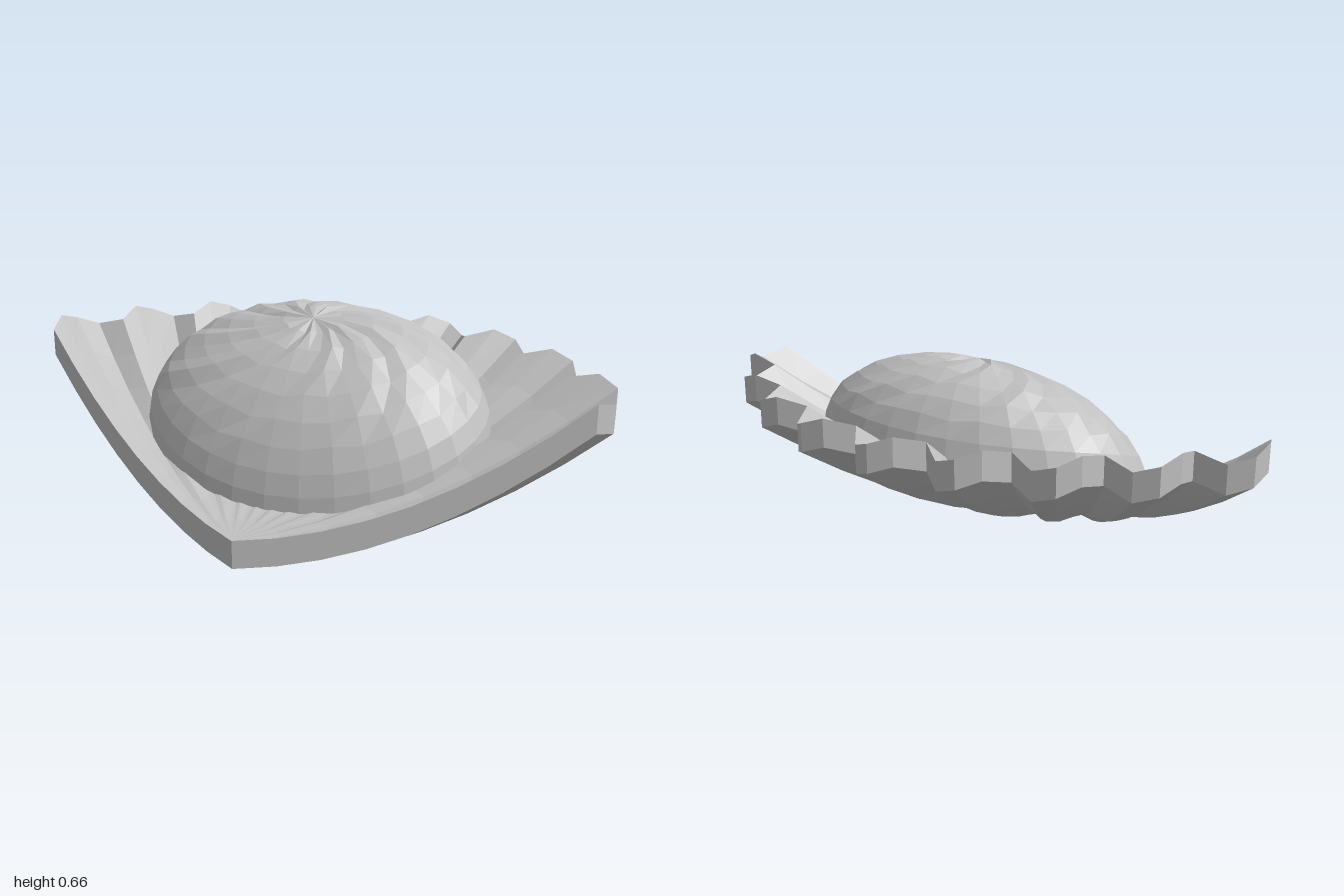
import * as THREE from 'three';

const LOBES = 9, STEPS = 4, ROWS = 8;
const APEX_Z = 0.586, SPREAD = THREE.MathUtils.degToRad(63.6), THICK = 0.093;
const RISE = 0.42;

// Facetted surface from fn(u, v), with u and v running 0..1
function grid(fn, nu, nv) {
  const pos = [], index = [];
  for (let j = 0; j <= nv; j++)
    for (let i = 0; i <= nu; i++) pos.push(...fn(i / nu, j / nv, i, j));
  for (let j = 0; j < nv; j++)
    for (let i = 0; i < nu; i++) {
      const a = j * (nu + 1) + i, b = a + 1, d = a + nu + 1, c = d + 1;
      index.push(a, b, c, a, c, d);
    }
  const g = new THREE.BufferGeometry();
  g.setAttribute('position', new THREE.Float32BufferAttribute(pos, 3));
  g.setIndex(index);
  g.computeVertexNormals();
  return g;
}

// Point on the ribbed fan: u across the fan, t from hinge to rim, lift above the underside
function fan(u, t, lift) {
  const phase = u * LOBES, angle = (u * 2 - 1) * SPREAD;
  const r = (1.07 + 0.105 * Math.abs(Math.sin(phase * Math.PI))) * t;
  const y = (RISE + 0.025 * Math.sin(phase * 2 * Math.PI)) * t * t + lift;
  return [Math.sin(angle) * r, y, APEX_Z - Math.cos(angle) * r];
}

export function createModel() {
  const group = new THREE.Group();
  const grey = new THREE.MeshStandardMaterial({ color: 0xc0c0c0, flatShading: true });
  grey.name = 'shell grey';

  const add = (name, geometry, parent) => {
    const mesh = new THREE.Mesh(geometry, grey);
    mesh.name = name;
    parent.add(mesh);
  };

  // Thick scalloped shell
  const shell = new THREE.Group();
  shell.name = 'scallopShell';
  group.add(shell);
  const n = LOBES * STEPS;
  add('shellInside', grid((u, v) => fan(u, v, THICK), n, ROWS), shell);
  add('shellUnderside', grid((u, v) => fan(1 - u, v, 0), n, ROWS), shell);
  add('shellRim', grid((u, v) => fan(u, 1, THICK * (1 - v)), n, 1), shell);
  add('leftEdge', grid((u, v) => fan(1, u, THICK * v), ROWS, 1), shell);
  add('rightEdge', grid((u, v) => fan(0, u, THICK * (1 - v)), ROWS, 1), shell);

  // Oval domed body resting on the curved inside of the shell
  const SIDES = 32, RINGS = 9;
  const dome = grid((u, v, i, j) => {
    const rho = Math.sin(v * Math.PI / 2), a = u * Math.PI * 2;
    const x = 0.605 * rho * Math.cos(a), z = 0.375 * rho * Math.sin(a);
    const t = Math.hypot(x, APEX_Z - z) / 1.175;
    const bump = j > 0 && j < 7 ? 0.007 * Math.sin((i % SIDES) * 2.4 + j * 4.1) : 0;
    const height = 0.445 * Math.pow(Math.max(0, 1 - rho * rho), 0.6);
    return [x, RISE * t * t + THICK - 0.005 + height + bump, z];
  }, SIDES, RINGS);
  add('domedBody', dome, group);

  return group;
}
